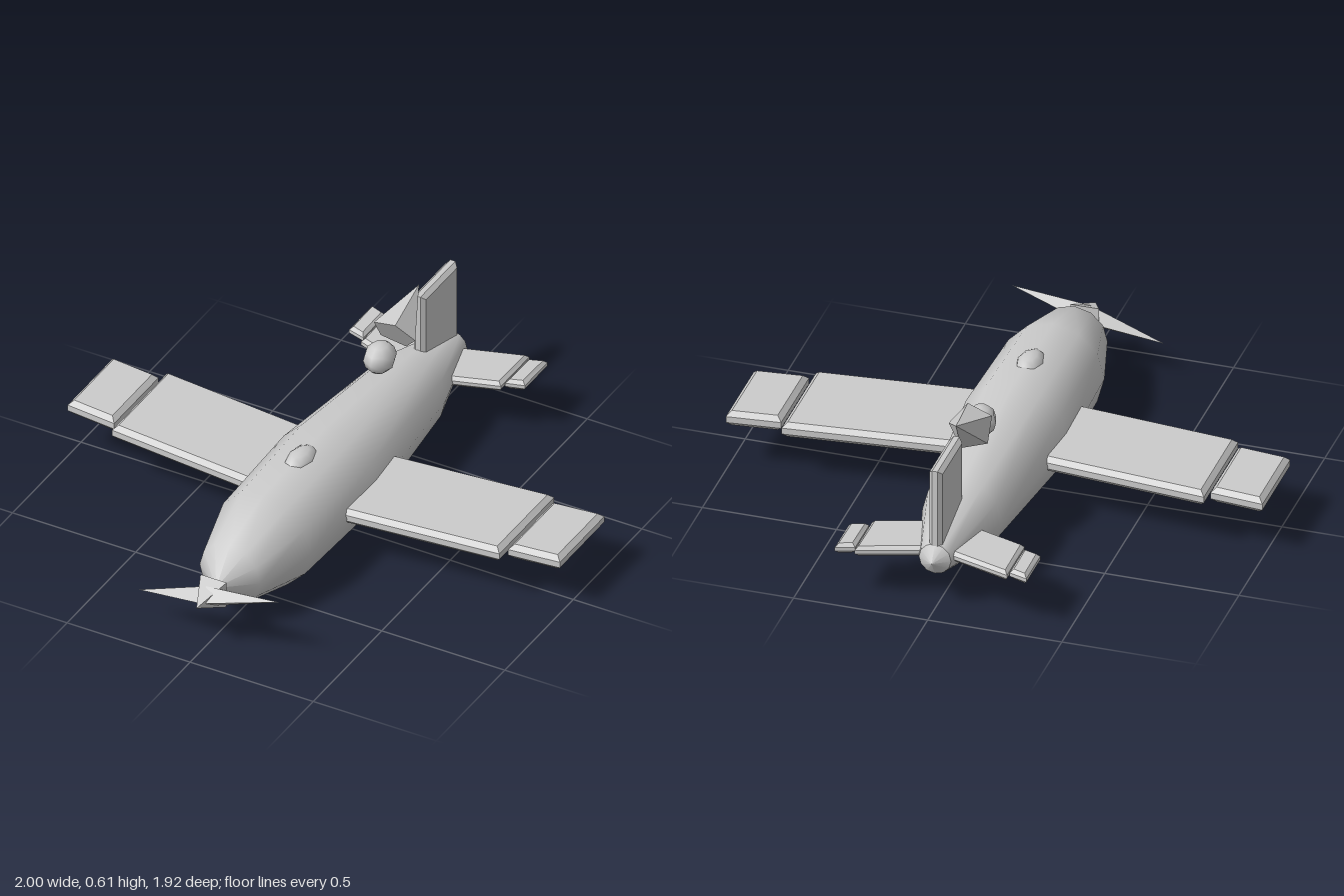
import * as THREE from 'three';

const AXIS_Y = 0.21; // height of the fuselage centre line

export function createModel() {
  const model = new THREE.Group();
  const smooth = new THREE.MeshStandardMaterial({ color: 0xcccccc });
  const flat = new THREE.MeshStandardMaterial({ color: 0xcccccc, flatShading: true });

  function add(name, geometry, material, x = 0, y = 0, z = 0) {
    const mesh = new THREE.Mesh(geometry, material);
    mesh.name = name;
    mesh.position.set(x, y, z);
    model.add(mesh);
    return mesh;
  }

  // Body of revolution along z, from [radius, z] pairs running tail to nose
  function revolve(profile) {
    const points = profile.map(([r, z]) => new THREE.Vector2(r, z));
    return new THREE.LatheGeometry(points, 12).rotateX(Math.PI / 2);
  }

  // Plate with chamfered edges, centred on its thickness
  function plate(outline, thickness, bevel) {
    const shape = new THREE.Shape(outline.map(([x, y]) => new THREE.Vector2(x, y)));
    const depth = thickness - 2 * bevel;
    return new THREE.ExtrudeGeometry(shape, {
      depth, bevelEnabled: true, bevelSegments: 1,
      bevelSize: bevel, bevelThickness: bevel, bevelOffset: -bevel,
    }).translate(0, 0, -depth / 2);
  }

  // Fuselage and its tail cap
  add('fuselage', revolve([
    [0.06, -0.915], [0.148, -0.6], [0.205, 0], [0.192, 0.46], [0.123, 0.71], [0, 0.81],
  ]), smooth, 0, AXIS_Y);
  add('tailCap', revolve([[0, -0.955], [0.06, -0.915]]), smooth, 0, AXIS_Y);

  // Swept panels: inner x, outer x, then front and back z at each end
  const panels = [
    { name: 'Wing', x: [0, 0.787], front: [0.232, 0.157], back: [-0.168, -0.243], t: 0.06, b: 0.018 },
    { name: 'WingTip', x: [0.8, 1], front: [0.118, 0.098], back: [-0.207, -0.227], t: 0.06, b: 0.018 },
    { name: 'Tailplane', x: [0, 0.284], front: [-0.665, -0.757], back: [-0.875, -0.965], t: 0.04, b: 0.013 },
    { name: 'TailplaneTip', x: [0.288, 0.357], front: [-0.782, -0.802], back: [-0.945, -0.967], t: 0.04, b: 0.013 },
  ];
  for (const [side, s] of [['left', 1], ['right', -1]]) {
    for (const p of panels) {
      const outline = [
        [s * p.x[0], p.front[0]], [s * p.x[1], p.front[1]],
        [s * p.x[1], p.back[1]], [s * p.x[0], p.back[0]],
      ];
      add(side + p.name, plate(outline, p.t, p.b).rotateX(Math.PI / 2), smooth, 0, 0.214);
    }
  }

  // Upright tail fin
  const finOutline = [[-0.918, 0.22], [-0.662, 0.22], [-0.662, 0.572], [-0.918, 0.572]];
  add('tailFin', plate(finOutline, 0.05, 0.015).rotateY(-Math.PI / 2), smooth);

  // Canopy bump on the front of the body
  const canopy = add('canopy', new THREE.SphereGeometry(1, 8, 6), smooth, 0, 0.388, 0.193);
  canopy.scale.set(0.05, 0.04, 0.088);

  // Rounded head and pointed cone floating ahead of the fin
  const head = add('head', new THREE.SphereGeometry(1, 8, 6), smooth, 0, 0.48, -0.385);
  head.scale.set(0.058, 0.06, 0.07);
  const cone = new THREE.CylinderGeometry(0, 0.085, 0.208, 5, 1, false, Math.PI / 2)
    .translate(0, 0.104, 0).rotateX(-Math.PI / 3);
  add('cone', cone, flat, 0, 0.515, -0.49);

  // Propeller blades as one stretched octahedron, with a four-sided spinner
  const blades = add('propellerBlades', new THREE.OctahedronGeometry(1), flat, 0, AXIS_Y, 0.866);
  blades.scale.set(0.293, 0.04, 0.055);
  blades.rotation.z = 0.24;
  const spinner = new THREE.CylinderGeometry(0, 0.075, 0.125, 4, 1, false, Math.PI / 4)
    .rotateX(Math.PI / 2);
  add('spinner', spinner, flat, 0, AXIS_Y, 0.892);

  return model;
}
